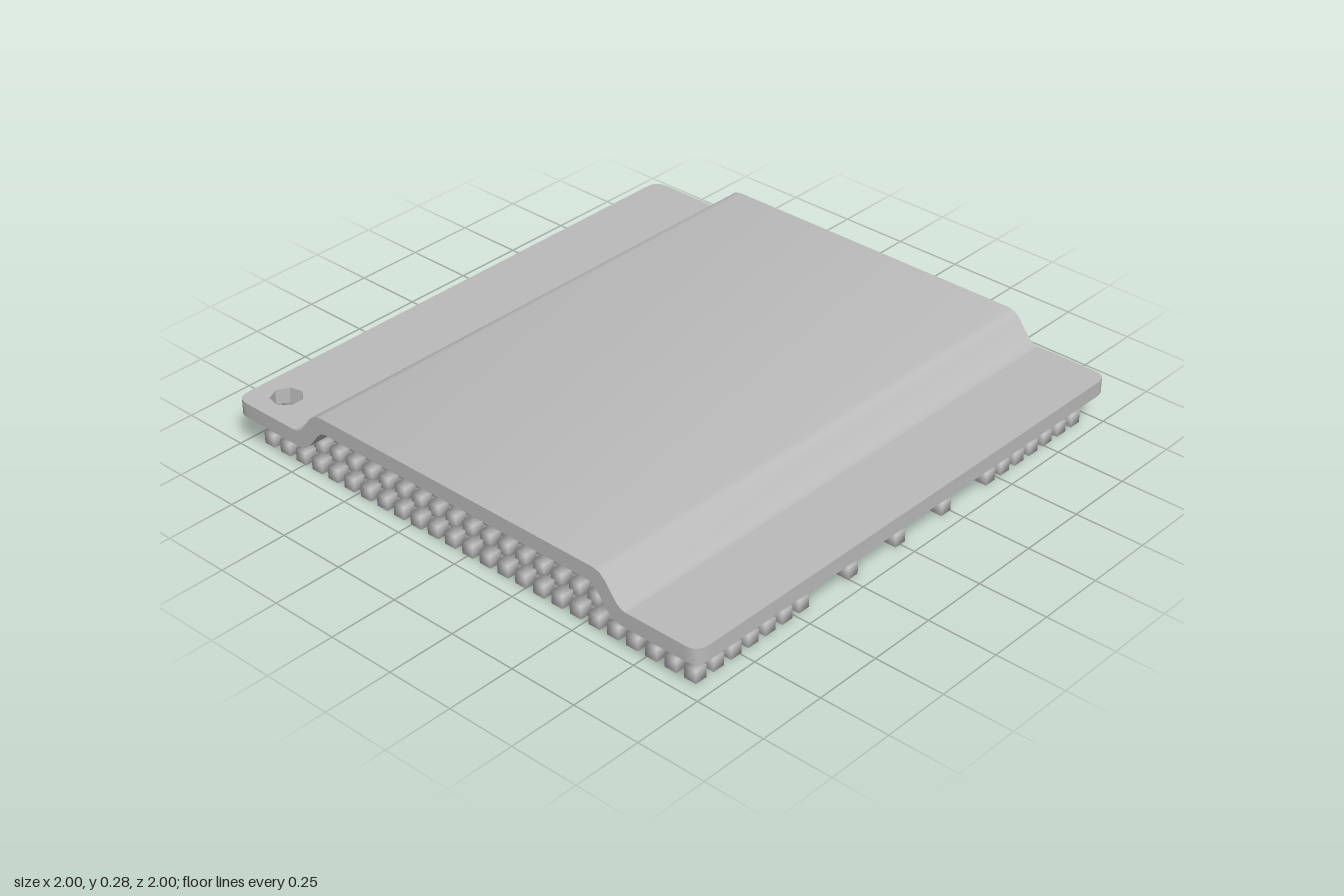
import * as THREE from 'three';
import { mergeGeometries, mergeVertices, toCreasedNormals } from 'three/addons/utils/BufferGeometryUtils.js';

const FLANGE_TOP = 0.175, FLANGE_BOTTOM = 0.12, SEAM = 0.72;

// raised centre: a bent sheet profile (z, y) extruded across the width
function coverGeometry() {
  const top = [[0.72, 0.175], [0.703, 0.178], [0.685, 0.19], [0.637, 0.252], [0.617, 0.269], [0.59, 0.275]];
  const under = [[0.57, 0.22], [0.59, 0.214], [0.607, 0.197], [0.65, 0.143], [0.672, 0.126], [0.7, 0.12], [0.72, 0.12]];
  const mirror = (pts) => pts.map(([z, y]) => [-z, y]).reverse();
  const outline = [...top, ...mirror(top), ...mirror(under), ...under];
  const shape = new THREE.Shape(outline.map(([z, y]) => new THREE.Vector2(z, y)));
  const geo = new THREE.ExtrudeGeometry(shape, { depth: 2, bevelEnabled: false });
  geo.rotateY(-Math.PI / 2).translate(1, 0, 0);
  return toCreasedNormals(geo, 0.6);
}

// flat edge strip with rounded outer corners; side is +1 front, -1 back
function flangeGeometry(side, hasHole) {
  const r = 0.05;
  const shape = new THREE.Shape();
  shape.moveTo(-1, side * SEAM);
  shape.lineTo(-1, side * (1 - r));
  shape.quadraticCurveTo(-1, side, -1 + r, side);
  shape.lineTo(1 - r, side);
  shape.quadraticCurveTo(1, side, 1, side * (1 - r));
  shape.lineTo(1, side * SEAM);
  shape.closePath();
  if (hasHole) {
    const pts = [];
    for (let i = 0; i < 7; i++) {
      const a = (i / 7) * Math.PI * 2 + 0.2;
      pts.push(new THREE.Vector2(-0.885 + 0.056 * Math.cos(a), -0.885 + 0.056 * Math.sin(a)));
    }
    shape.holes.push(new THREE.Path(pts));
  }
  const geo = new THREE.ExtrudeGeometry(shape, { depth: FLANGE_TOP - FLANGE_BOTTOM, bevelEnabled: false, curveSegments: 5 });
  geo.rotateX(Math.PI / 2).translate(0, FLANGE_TOP, 0);
  return toCreasedNormals(geo, 0.6);
}

// grid of small smooth-shaded cubes, with gaps along the front and back rows
function contactGeometry() {
  const n = 25, pitch = 0.0767, size = 0.046;
  let cube = new THREE.BoxGeometry(size, size, size);
  cube.deleteAttribute('normal');
  cube.deleteAttribute('uv');
  cube = mergeVertices(cube);
  cube.computeVertexNormals();
  const parts = [];
  for (let row = 0; row < n; row++) {
    for (let col = 0; col < n; col++) {
      const edgeRow = row === 0 || row === n - 1;
      if (edgeRow && col > 6 && col < 18 && col % 3 !== 0) continue;
      const x = (col - (n - 1) / 2) * pitch, z = (row - (n - 1) / 2) * pitch;
      parts.push(cube.clone().translate(x, size / 2, z));
    }
  }
  return mergeGeometries(parts);
}

export function createModel() {
  const grey = new THREE.MeshStandardMaterial({ color: 0xbbbbbb });
  grey.name = 'grey metal';
  const group = new THREE.Group();
  group.name = 'chipPackage';
  const add = (name, geo) => {
    const mesh = new THREE.Mesh(geo, grey);
    mesh.name = name;
    group.add(mesh);
  };
  add('raisedCover', coverGeometry());
  add('frontFlange', flangeGeometry(1, false));
  add('backFlange', flangeGeometry(-1, true));
  add('contactGrid', contactGeometry());
  return group;
}
